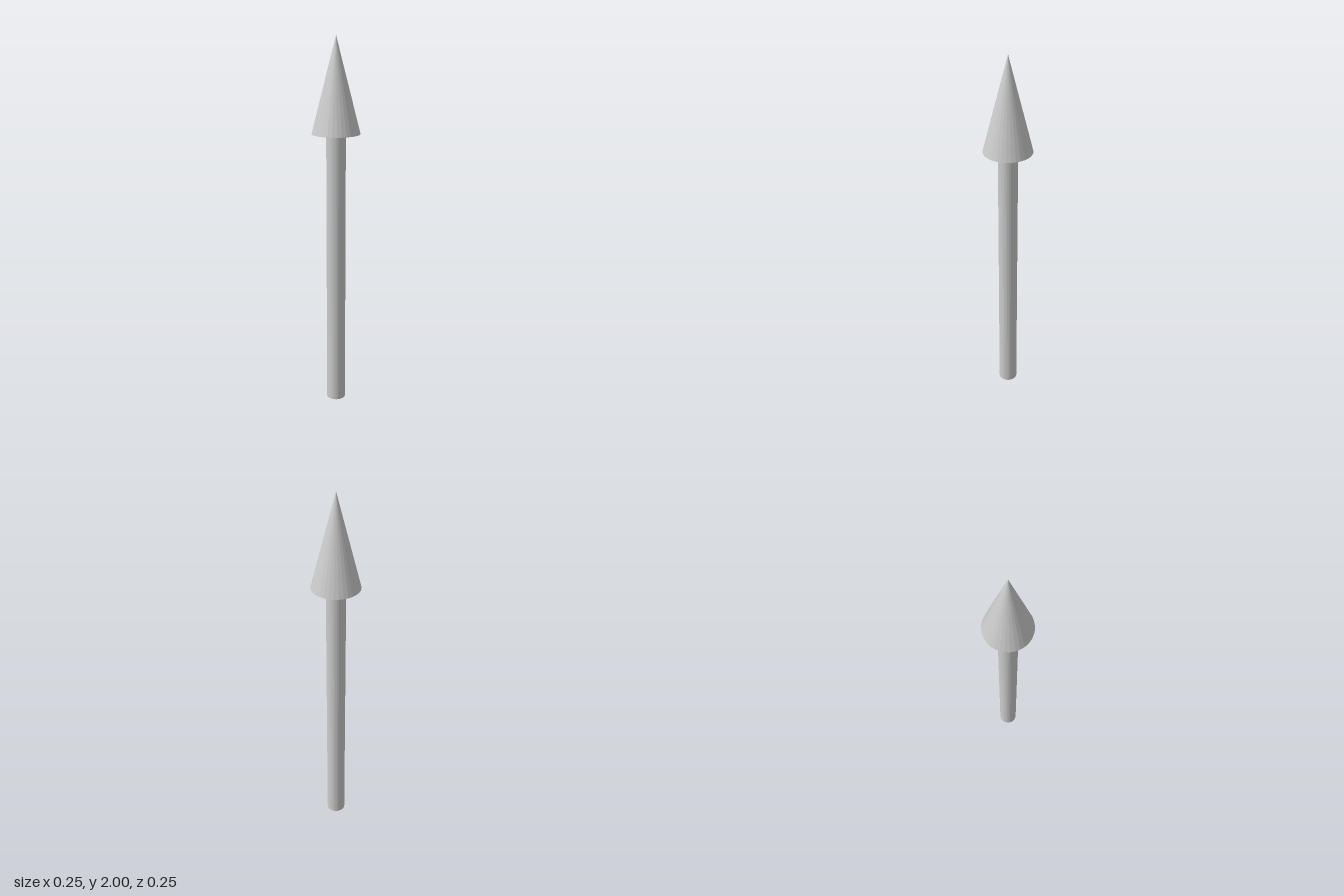
import * as THREE from 'three';

const SIDES = 32;
const HEIGHT = 2;
const NECK = 1.505; // where the shaft meets the head

export function createModel() {
  const group = new THREE.Group();
  group.name = 'arrow';
  const material = new THREE.MeshStandardMaterial({ color: 0xcccccc, flatShading: true });

  const addPart = (name, geometry, y) => {
    const mesh = new THREE.Mesh(geometry, material);
    mesh.name = name;
    mesh.position.y = y;
    group.add(mesh);
  };

  // Straight round shaft standing on the ground
  addPart('shaft', new THREE.CylinderGeometry(0.051, 0.051, NECK, SIDES), NECK / 2);

  // Pointed head with a closed flat base
  const headHeight = HEIGHT - NECK;
  addPart('head', new THREE.ConeGeometry(0.127, headHeight, SIDES), NECK + headHeight / 2);

  return group;
}
